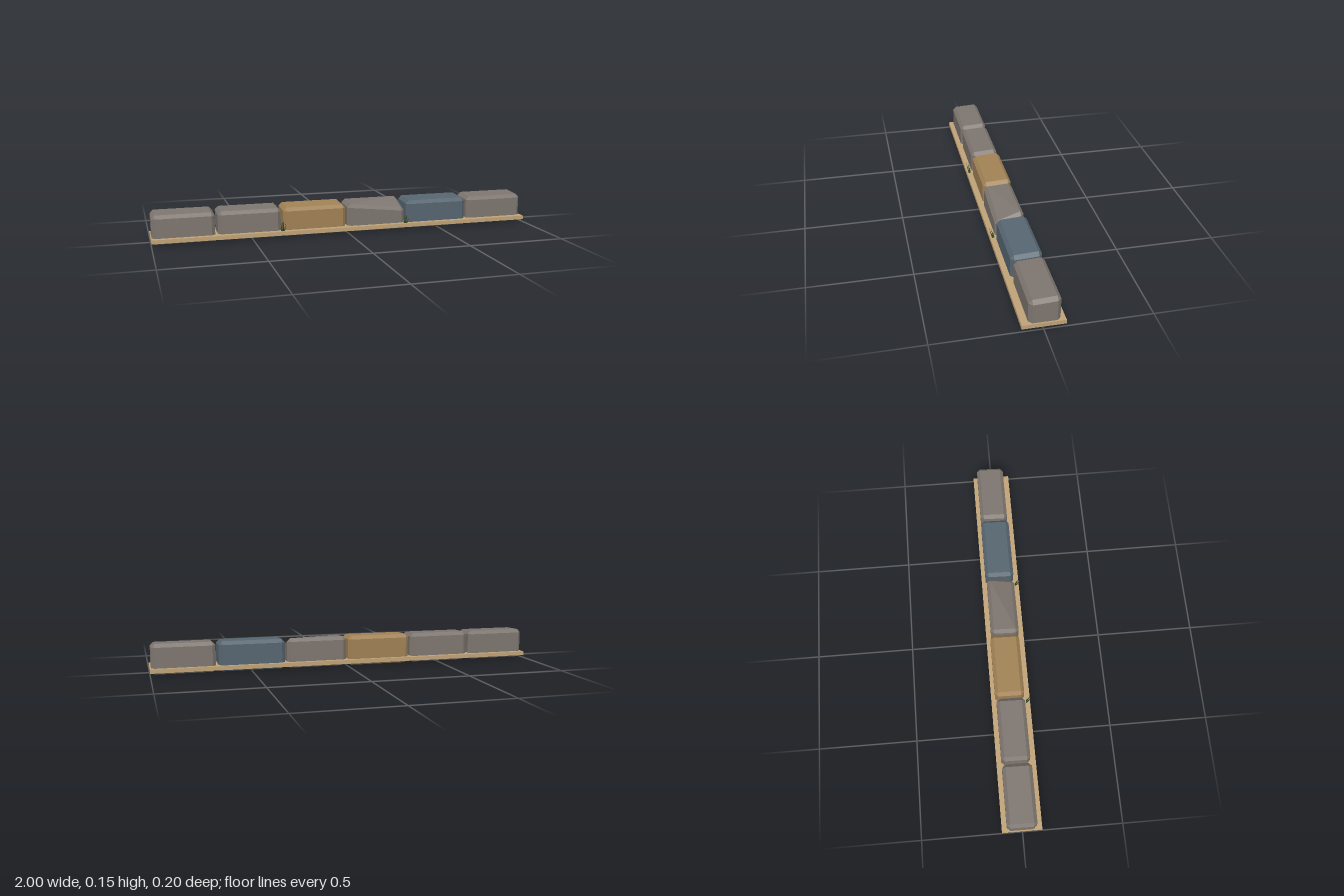
import * as THREE from 'three';
import { ConvexGeometry } from 'three/addons/geometries/ConvexGeometry.js';

const mat = (color) => new THREE.MeshStandardMaterial({ color, flatShading: true });

// Convex block with chamfered edges; topAt(u, v) gives the top height,
// u = 0..1 along x and v = 0 (back) .. 1 (front)
function stoneGeometry(x0, x1, z0, z1, topAt) {
  const c = 0.017, points = [];
  for (const u of [0, 1]) for (const v of [0, 1]) for (const up of [0, 1]) {
    const x = u ? x1 : x0, z = v ? z1 : z0, y = up ? topAt(u, v) : 0;
    const ix = x + (u ? -c : c), iz = z + (v ? -c : c), iy = y + (up ? -c : c);
    points.push(
      new THREE.Vector3(x, iy, iz),
      new THREE.Vector3(ix, y, iz),
      new THREE.Vector3(ix, iy, z));
  }
  return new ConvexGeometry(points);
}

// Thin three-sided blade from base to tip
function bladeGeometry(base, tip, radius) {
  const dir = tip.clone().sub(base), length = dir.length();
  const geo = new THREE.ConeGeometry(radius, length, 3);
  geo.translate(0, length / 2, 0);
  geo.applyQuaternion(new THREE.Quaternion().setFromUnitVectors(
    new THREE.Vector3(0, 1, 0), dir.normalize()));
  return geo.translate(base.x, base.y, base.z);
}

export function createModel() {
  const group = new THREE.Group();

  // Bed running through the whole row
  const bed = new THREE.Mesh(new THREE.BoxGeometry(2, 0.02, 0.2), mat(0xbfa277));
  bed.position.set(0, 0.023, -0.002);
  bed.name = 'bed';
  group.add(bed);

  // Row of stones: x range, z range, colour, top height
  const grey = mat(0x7d756f), tan = mat(0xa08154), blue = mat(0x566570);
  const level = (u, v) => 0.153 - 0.006 * v;
  const sloped = (u, v) => 0.153 - v * (0.008 + 0.03 * u);
  const stones = [
    [-0.995, -0.685, -0.077, 0.072, grey, level],
    [-0.67, -0.35, -0.077, 0.068, grey, level],
    [-0.337, -0.008, -0.082, 0.068, tan, level],
    [0.003, 0.315, -0.076, 0.07, grey, sloped],
    [0.327, 0.663, -0.081, 0.07, blue, level],
    [0.677, 0.993, -0.08, 0.065, grey, level],
  ];
  stones.forEach(([x0, x1, z0, z1, material, top], i) => {
    const stone = new THREE.Mesh(stoneGeometry(x0, x1, z0, z1, top), material);
    stone.name = `stone${i + 1}`;
    group.add(stone);
  });

  // Grass tufts in two of the front gaps: tip offset in x, tip height, tip z
  const green = mat(0x3a4f2a);
  const blades = [[-0.012, 0.085, 0.09], [-0.004, 0.1, 0.102], [0.004, 0.093, 0.092],
    [0.012, 0.075, 0.096], [0.001, 0.08, 0.084]];
  [[-0.345, 1], [0.318, 0.8]].forEach(([x, scale], t) => {
    const tuft = new THREE.Group();
    tuft.name = `grassTuft${t + 1}`;
    blades.forEach(([dx, h, z], i) => {
      const base = new THREE.Vector3(x + dx * 0.5, 0.03, 0.078 + (i % 2) * 0.006);
      const tip = new THREE.Vector3(x + dx, 0.03 + (h - 0.03) * scale, z);
      const blade = new THREE.Mesh(bladeGeometry(base, tip, 0.0045), green);
      blade.name = 'blade';
      tuft.add(blade);
    });
    group.add(tuft);
  });

  return group;
}
